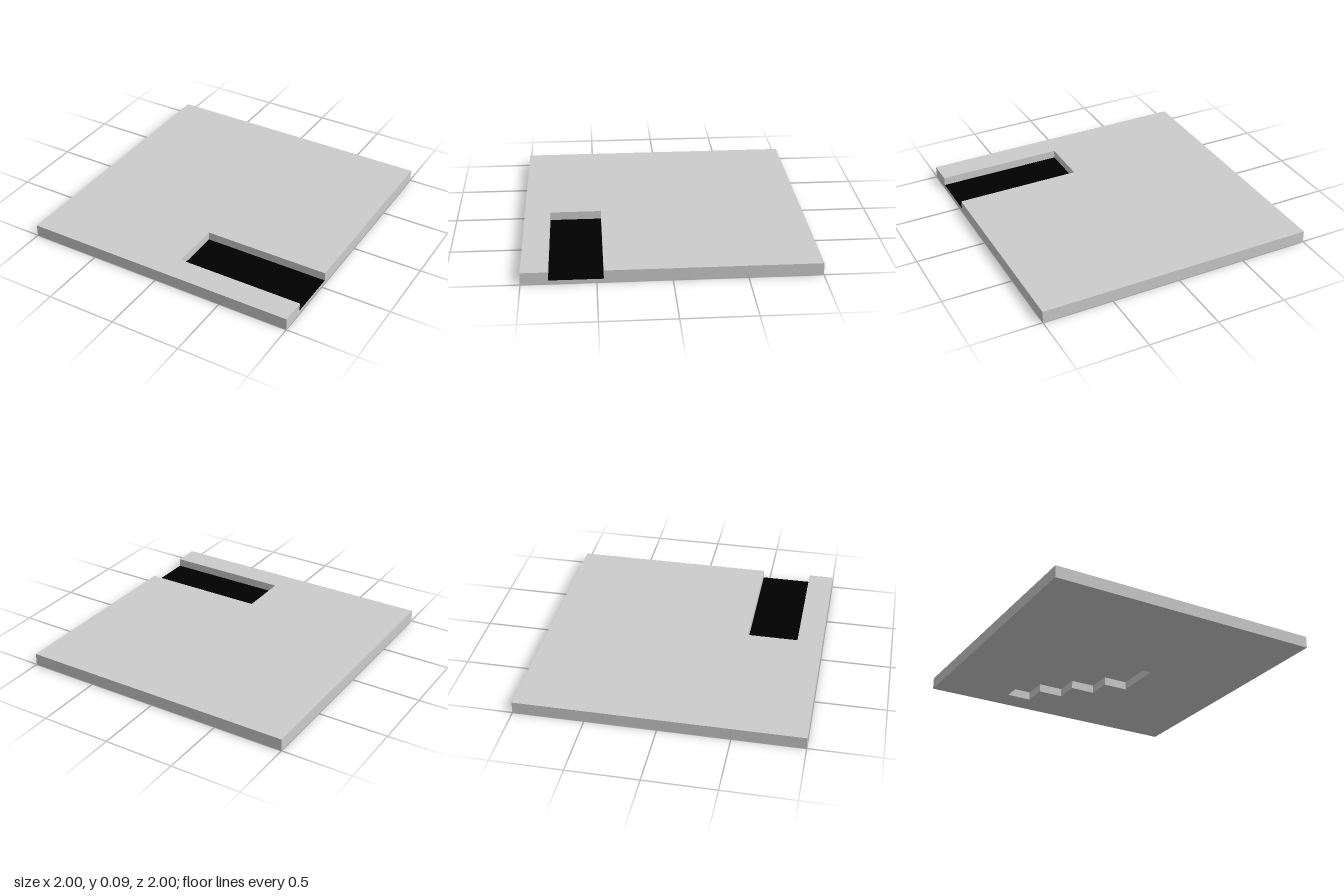
import * as THREE from 'three';

const U = 1 / 11;        // half of one grid cell
const TOP = 0.086;       // slab thickness
const FLOOR = 0.026;     // height of the notch floor
const CEILING = 0.06;    // height of the recess ceiling

const grey = new THREE.MeshStandardMaterial({ color: 0xcccccc });
const black = new THREE.MeshStandardMaterial({ color: 0x000000 });

const grid = (pts) => pts.map(([x, z]) => [x * U, z * U]);
const toShape = (pts) => new THREE.Shape(pts.map(([a, b]) => new THREE.Vector2(a, b)));

// Flat faces from (x, z) outlines, looking up or down
function faceUp(pts, y) {
  return new THREE.ShapeGeometry(toShape(pts.map(([x, z]) => [x, -z])))
    .rotateX(-Math.PI / 2).translate(0, y, 0);
}
function faceDown(pts, y, hole) {
  const shape = toShape(pts);
  if (hole) shape.holes.push(toShape(hole));
  return new THREE.ShapeGeometry(shape).rotateX(Math.PI / 2).translate(0, y, 0);
}

// Upright walls along an (x, z) path; walking +x makes them face +z
function walls(path, y0, y1) {
  const pos = [];
  for (let i = 0; i + 1 < path.length; i++) {
    const [ax, az] = path[i], [bx, bz] = path[i + 1];
    pos.push(ax, y0, az, bx, y0, bz, bx, y1, bz);
    pos.push(ax, y0, az, bx, y1, bz, ax, y1, az);
  }
  const g = new THREE.BufferGeometry();
  g.setAttribute('position', new THREE.Float32BufferAttribute(pos, 3));
  g.computeVertexNormals();
  return g;
}

export function createModel() {
  const group = new THREE.Group();
  const add = (name, geometry, material = grey) => {
    const mesh = new THREE.Mesh(geometry, material);
    mesh.name = name;
    group.add(mesh);
  };

  const rim = [[1, -1], [-1, -1], [-1, 1], [1, 1]];
  const notch = grid([[11, 9], [1, 9], [1, 5], [11, 5]]);

  // Staircase outline: four strips, each shifted one cell from the last
  const near = [], far = [];
  for (let i = 0; i < 4; i++) {
    const x = 3 - 2 * i, z = 1 - 2 * i;
    near.push([x, z], [x - 2, z]);
    far.unshift([x - 2, z - 4], [x, z - 4]);
  }
  const stairs = grid([...near, ...far]);

  // Slab
  add('slabTop', faceUp([...rim, ...notch], TOP));
  add('slabBottom', faceDown(rim, 0, stairs));
  add('slabSides', walls(rim, 0, TOP));
  const [z0, z1] = [5 * U, 9 * U];
  const side = toShape([[-1, 0], [1, 0], [1, TOP], [-z0, TOP],
    [-z0, FLOOR], [-z1, FLOOR], [-z1, TOP], [-1, TOP]]);
  add('notchedSide', new THREE.ShapeGeometry(side).rotateY(Math.PI / 2).translate(1, 0, 0));

  // Open notch in the top, with a black floor
  add('notchWalls', walls(notch, FLOOR, TOP));
  add('notchFloor', faceUp(notch, FLOOR), black);

  // Staircase recess in the underside
  add('recessWalls', walls([...stairs, stairs[0]], 0, CEILING));
  add('recessCeiling', faceDown(stairs, CEILING));

  return group;
}
